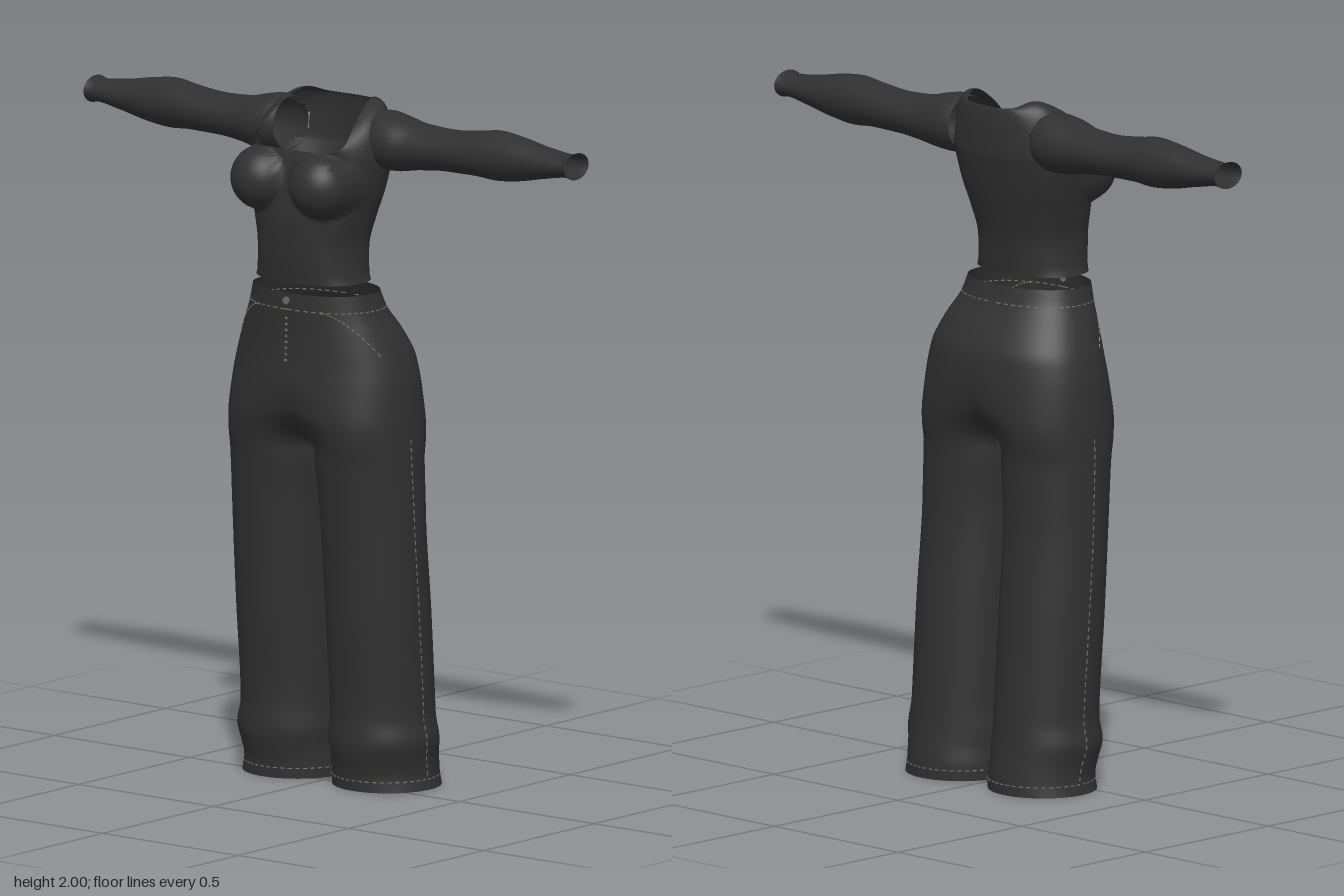
import * as THREE from 'three';
import { mergeVertices, mergeGeometries } from 'three/addons/utils/BufferGeometryUtils.js';

// Smooth, overshoot-free lookup in a table of rows [key, a, b, ...] with rising keys
function lookup(table, key) {
  let i = 0;
  while (i < table.length - 2 && key > table[i + 1][0]) i++;
  const h = table[i + 1][0] - table[i][0];
  const s = Math.min(1, Math.max(0, (key - table[i][0]) / h));
  const slope = (k, c) => (table[k + 1][c] - table[k][c]) / (table[k + 1][0] - table[k][0]);
  const tangent = (k, c) => {
    if (k === 0) return slope(0, c);
    if (k === table.length - 1) return slope(k - 1, c);
    const a = slope(k - 1, c), b = slope(k, c);
    return a * b <= 0 ? 0 : (2 * a * b) / (a + b);
  };
  return table[0].slice(1).map((_, j) => {
    const c = j + 1, s2 = s * s, s3 = s2 * s;
    return table[i][c] * (2 * s3 - 3 * s2 + 1) + table[i + 1][c] * (3 * s2 - 2 * s3)
      + h * (tangent(i, c) * (s3 - 2 * s2 + s) + tangent(i + 1, c) * (s3 - s2));
  });
}

// Grid surface from point(u index, v index), repeated for each side (+1 / -1 in x)
function surface(point, nu, nv, sides, skip = () => false) {
  const pos = [], index = [];
  for (const side of sides) {
    const base = pos.length / 3, pts = [];
    for (let j = 0; j <= nv; j++) for (let i = 0; i <= nu; i++) {
      const p = point(i / nu, j);
      pts.push(p);
      pos.push(p.x * side, p.y, p.z);
    }
    for (let j = 0; j < nv; j++) for (let i = 0; i < nu; i++) {
      const a = j * (nu + 1) + i, b = a + 1, c = a + nu + 1, d = c + 1;
      if (skip(pts[a].clone().add(pts[d]).multiplyScalar(0.5))) continue;
      const q = side > 0 ? [a, b, c, b, d, c] : [a, c, b, b, c, d];
      index.push(...q.map(k => k + base));
    }
  }
  let g = new THREE.BufferGeometry();
  g.setAttribute('position', new THREE.Float32BufferAttribute(pos, 3));
  g.setIndex(index);
  g = mergeVertices(g, 1e-5);
  g.computeVertexNormals();
  return g;
}

const spow = (v, e) => Math.sign(v) * Math.pow(Math.abs(v), e);

// Trousers: height, half width, front z, back z, hip-to-leg blend, inner leg x
const TROUSERS = [
  [0, 0.325, 0.075, -0.235, 1, 0.008], [0.045, 0.316, 0.075, -0.234, 1, 0.008],
  [0.09, 0.319, 0.086, -0.228, 1, 0.012], [0.14, 0.329, 0.095, -0.221, 1, 0.008],
  [0.21, 0.316, 0.09, -0.215, 1, 0.014], [0.5, 0.317, 0.11, -0.195, 1, 0.014],
  [0.8, 0.315, 0.13, -0.172, 1, 0.01], [0.96, 0.312, 0.147, -0.174, 1, 0],
  [0.99, 0.311, 0.152, -0.178, 0.75, 0], [1.03, 0.309, 0.16, -0.186, 0.45, 0],
  [1.1, 0.305, 0.174, -0.198, 0.15, 0], [1.18, 0.297, 0.178, -0.204, 0.03, 0],
  [1.25, 0.282, 0.175, -0.2, 0, 0], [1.33, 0.25, 0.172, -0.165, 0, 0],
  [1.4, 0.215, 0.172, -0.118, 0, 0], [1.45, 0.2, 0.17, -0.1, 0, 0],
];

// Half section: t runs from centre front (0) round the outside to centre back (PI)
function trouserPoint(t, y) {
  const [X, zf, zb, w, inner] = lookup(TROUSERS, y);
  const depth = a => (1 - w) * spow(Math.cos(a), 0.9) + w * Math.sin(2 * a);
  let peak = 0;
  for (let k = 0; k <= 24; k++) peak = Math.max(peak, depth(k * Math.PI / 48));
  const hip = X * Math.pow(Math.max(0, Math.sin(t)), 0.88);
  const leg = (X + inner) / 2 - (X - inner) / 2 * Math.cos(2 * t);
  return new THREE.Vector3((1 - w) * hip + w * leg, y,
    (zf + zb) / 2 + (zf - zb) / 2 * depth(t) / peak);
}

// Bodice rings: height, half width, front z, back z
const BODICE = [
  [1.48, 0.177, 0.172, -0.075], [1.5, 0.17, 0.175, -0.077], [1.58, 0.165, 0.183, -0.086],
  [1.66, 0.18, 0.186, -0.107], [1.74, 0.2, 0.178, -0.13], [1.84, 0.215, 0.162, -0.152],
];
const NECK = new THREE.CatmullRomCurve3([
  [0, 1.865, 0.152], [0.07, 1.865, 0.152], [0.135, 1.866, 0.142], [0.163, 1.885, 0.115],
  [0.152, 1.94, 0.05], [0.135, 1.985, -0.02], [0.12, 2, -0.07], [0.09, 1.983, -0.125],
  [0.05, 1.98, -0.138], [0, 1.98, -0.142],
].map(p => new THREE.Vector3(...p)), false, 'centripetal');

const RINGS = 36, YOKE = 20;
function bodicePoint(u, row) {
  const t = u * Math.PI;
  const y = 1.48 + 0.36 * Math.min(1, row / RINGS);
  const [X, zf, zb] = lookup(BODICE, y);
  const p = new THREE.Vector3(X * Math.pow(Math.max(0, Math.sin(t)), 0.85), y,
    (zf + zb) / 2 + (zf - zb) / 2 * spow(Math.cos(t), 0.88));
  if (row > RINGS) {
    // Yoke curves over the shoulder to the neckline
    const s = (row - RINGS) / YOKE, n = NECK.getPoint(u);
    const k = THREE.MathUtils.smoothstep(u, 0.2, 0.5);
    const ctrl = p.clone().lerp(n, 0.5).lerp(new THREE.Vector3(p.x, n.y, p.z), 0.2 + 0.8 * k);
    p.multiplyScalar((1 - s) ** 2).addScaledVector(ctrl, 2 * s * (1 - s)).addScaledVector(n, s * s);
  }
  // Rounded bust
  const d2 = 0.095 ** 2 - (p.x - 0.108) ** 2 - (p.y - 1.77) ** 2;
  if (p.z > 0.05 && d2 > 0) p.z = Math.max(p.z, 0.143 + Math.sqrt(d2));
  p.x = Math.max(0, p.x);
  return p;
}

// Sleeve: x, top y, bottom y, front z, back z
const SLEEVE = [
  [0.165, 1.968, 1.812, 0.03, -0.13], [0.2, 1.974, 1.802, 0.042, -0.138],
  [0.25, 1.966, 1.804, 0.045, -0.136], [0.32, 1.95, 1.815, 0.03, -0.13],
  [0.42, 1.945, 1.824, 0.02, -0.125], [0.53, 1.955, 1.825, 0.018, -0.122],
  [0.6, 1.965, 1.82, 0.014, -0.123], [0.68, 1.956, 1.828, 0.01, -0.118],
  [0.78, 1.938, 1.848, 0.002, -0.11], [0.87, 1.929, 1.862, -0.002, -0.104],
  [0.89, 1.936, 1.858, 0.003, -0.108],
];
function sleevePoint(u, row) {
  const x = 0.165 + 0.725 * row / 48, a = u * Math.PI * 2;
  const [top, bottom, front, back] = lookup(SLEEVE, x);
  return new THREE.Vector3(x, (top + bottom) / 2 + (top - bottom) / 2 * Math.cos(a),
    (front + back) / 2 + (front - back) / 2 * Math.sin(a));
}

// Row of small stitches along path(s), mirrored on both sides
function stitches(path, count, fill = 0.55) {
  const parts = [], o = new THREE.Object3D();
  for (const side of [1, -1]) for (let i = 0; i < count; i++) {
    const a = path(i / count), b = path((i + fill) / count);
    a.x *= side; b.x *= side;
    o.position.copy(a).lerp(b, 0.5);
    o.lookAt(b);
    o.updateMatrix();
    parts.push(new THREE.BoxGeometry(0.003, 0.003, a.distanceTo(b)).applyMatrix4(o.matrix));
  }
  return mergeGeometries(parts);
}

export function createModel() {
  const model = new THREE.Group();
  const material = (name, color) => {
    const m = new THREE.MeshStandardMaterial({ color, side: THREE.DoubleSide });
    m.name = name;
    return m;
  };
  const fabric = material('charcoal fabric', 0x303030);
  const thread = material('tan thread', 0x7c7466);
  const metal = material('grey metal', 0x6c6c6c);
  const add = (name, geometry, mat) => {
    const mesh = new THREE.Mesh(geometry, mat);
    mesh.name = name;
    model.add(mesh);
    return mesh;
  };

  // Top, with open armholes inside the sleeves
  const inArmhole = p => p.x > 0.13 && ((p.y - 1.89) / 0.068) ** 2 + ((p.z + 0.05) / 0.068) ** 2 < 1;
  add('bodice', surface(bodicePoint, 64, RINGS + YOKE, [1, -1], inArmhole), fabric);
  add('leftSleeve', surface(sleevePoint, 36, 48, [1]), fabric);
  add('rightSleeve', surface(sleevePoint, 36, 48, [-1]), fabric);

  // Trousers: rows split exactly at the crotch
  const rowY = j => (j <= 32 ? 1.45 - 0.49 * j / 32 : 0.96 - 0.96 * (j - 32) / 48);
  add('trousers', surface((u, j) => trouserPoint(u * Math.PI, rowY(j)), 56, 80, [1, -1]), fabric);

  // Stitching
  const P = Math.PI;
  add('waistStitching', stitches(s => trouserPoint(s * P, 1.402), 26), thread);
  add('hemStitching', stitches(s => trouserPoint(s * P, 0.03), 44), thread);
  add('sideSeam', stitches(s => trouserPoint(P / 2, 0.04 + s), 44), thread);
  add('pocketStitching', stitches(s => trouserPoint(0.5 + 0.75 * s, 1.4 - 0.13 * s * s), 14), thread);
  add('flyStitching', stitches(s => trouserPoint(0.005, 1.25 + 0.14 * s), 8, 0.4), thread);

  // Waist button
  const button = add('waistButton', new THREE.CylinderGeometry(0.011, 0.011, 0.006, 20), metal);
  button.rotation.x = P / 2;
  button.position.set(0, 1.427, 0.173);
  return model;
}
